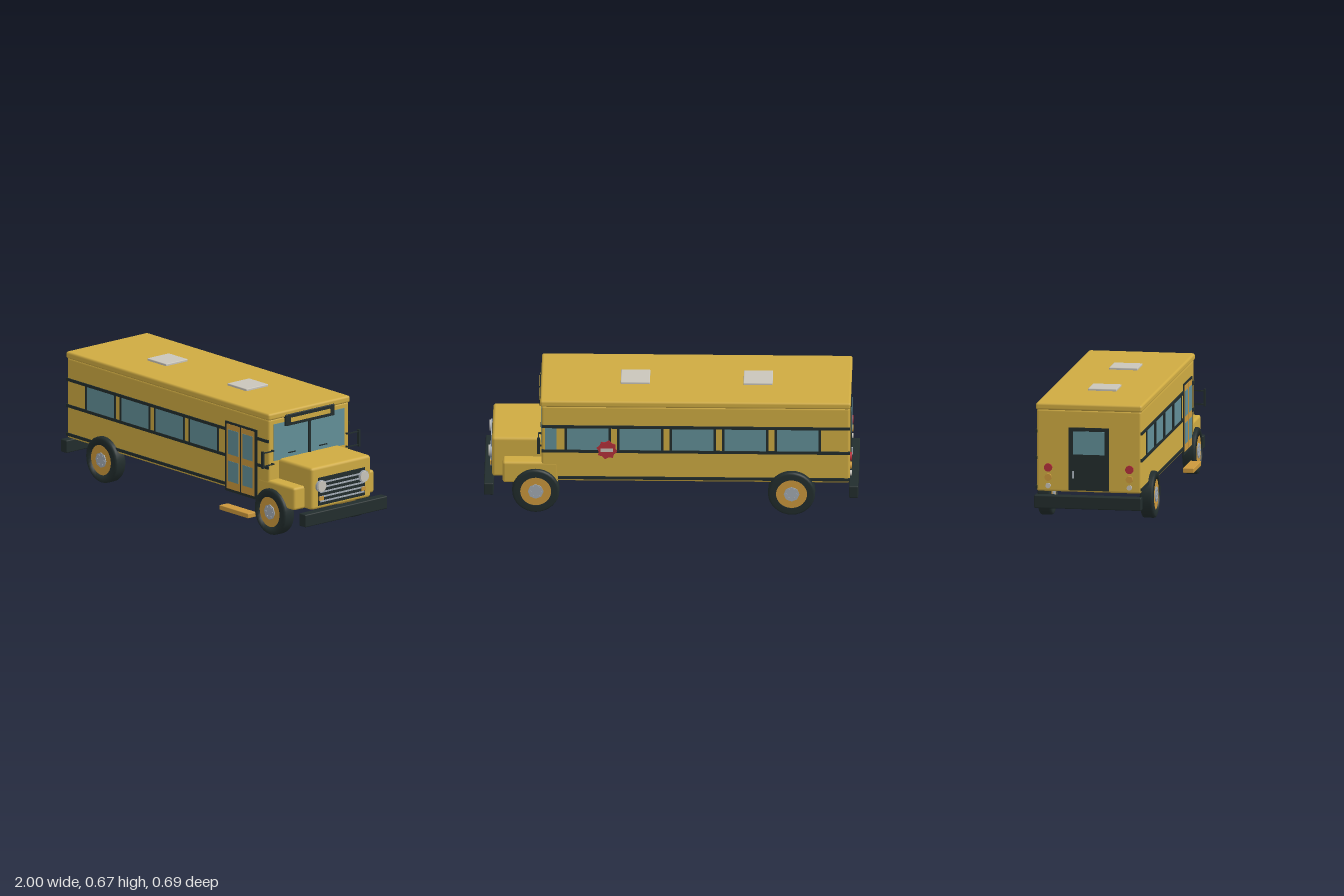
import * as THREE from 'three';
import { RoundedBoxGeometry } from 'three/addons/geometries/RoundedBoxGeometry.js';

const mat = (name, color) => {
  const m = new THREE.MeshStandardMaterial({ color });
  m.name = name;
  return m;
};

export function createModel() {
  const bus = new THREE.Group();
  bus.name = 'bus';
  const yellow = mat('yellow paint', 0xcfab42);
  const amber = mat('amber', 0xcb983c);
  const dark = mat('dark trim', 0x222d2d);
  const glass = mat('glass', 0x628f98);
  const silver = mat('silver', 0xa3abb4);
  const pale = mat('pale grey', 0xc9c5bb);
  const red = mat('red', 0xb5303a);

  const add = (name, geo, m, parent = bus) => {
    const mesh = new THREE.Mesh(geo, m);
    mesh.name = name;
    parent.add(mesh);
    return mesh;
  };
  // Box given by its limits on each axis, optionally with rounded edges
  const box = (name, m, x0, x1, y0, y1, z0, z1, r = 0) => {
    const s = [x1 - x0, y1 - y0, z1 - z0];
    const geo = r ? new RoundedBoxGeometry(...s, 2, r) : new THREE.BoxGeometry(...s);
    geo.translate((x0 + x1) / 2, (y0 + y1) / 2, (z0 + z1) / 2);
    return add(name, geo, m);
  };
  // Disc whose axis runs along x
  const discX = (name, m, x, y, z, r, depth) => {
    const geo = new THREE.CylinderGeometry(r, r, depth, 24).rotateZ(Math.PI / 2);
    return add(name, geo.translate(x, y, z), m);
  };
  // Plate on a side wall; side is +1 or -1, out is the distance beyond the wall
  const WALL = 0.283;
  const sidePlate = (name, m, side, x0, x1, y0, y1, out) =>
    box(name, m, x0, x1, y0, y1, side > 0 ? WALL - 0.003 : -WALL - out, side > 0 ? WALL + out : -WALL + 0.003);

  // Shell
  box('body', yellow, -0.955, 0.69, 0.18, 0.625, -WALL, WALL, 0.012);
  box('roof', yellow, -0.96, 0.697, 0.62, 0.658, -0.288, 0.288, 0.012);
  box('hood', yellow, 0.67, 0.955, 0.165, 0.398, -0.21, 0.21, 0.016);
  for (const x of [-0.462, 0.193]) box('roofHatch', pale, x - 0.078, x + 0.078, 0.655, 0.67, -0.077, 0.077, 0.004);
  box('frontBumper', dark, 0.945, 0.997, 0.095, 0.165, -0.29, 0.29, 0.006);
  box('rearBumper', dark, -1, -0.95, 0.095, 0.165, -0.29, 0.29, 0.006);

  // Side walls: rails, windows and fenders
  for (const side of [1, -1]) {
    for (const y of [0.505, 0.36, 0.202]) sidePlate('sideRail', dark, side, -0.957, y < 0.3 ? 0.6 : 0.69, y - 0.008, y + 0.008, 0.006);
    const count = side > 0 ? 4 : 5;
    for (let i = 0; i < count; i++) {
      const x = -0.79 + i * 0.28;
      sidePlate('sideWindow', glass, side, x, x + 0.225, 0.368, 0.497, 0.002);
      for (const px of [x - 0.005, x + 0.23]) sidePlate('windowPost', dark, side, px - 0.006, px + 0.006, 0.365, 0.5, 0.004);
    }
    const z = side * 0.242;
    box('fender', yellow, 0.6, 0.897, 0.165, 0.29, z - 0.042, z + 0.042, 0.014);
  }
  sidePlate('driverWindow', glass, -1, 0.61, 0.67, 0.368, 0.497, 0.002);

  // Entrance door and step
  sidePlate('doorFrame', dark, 1, 0.34, 0.6, 0.165, 0.55, 0.006);
  for (const x of [0.41, 0.527]) {
    sidePlate('doorLeaf', amber, 1, x - 0.054, x + 0.054, 0.18, 0.538, 0.0075);
    sidePlate('doorUpperGlass', glass, 1, x - 0.041, x + 0.041, 0.372, 0.508, 0.009);
    sidePlate('doorLowerGlass', glass, 1, x - 0.041, x + 0.041, 0.222, 0.335, 0.009);
  }
  box('entranceStep', amber, 0.352, 0.587, 0.068, 0.094, 0.28, 0.34, 0.004);

  // Windshield, wipers and destination box
  for (const s of [-1, 1]) {
    const z = s * 0.128;
    box('windshield', glass, 0.688, 0.693, 0.392, 0.595, z - 0.122, z + 0.122);
  }
  box('windshieldPost', dark, 0.688, 0.698, 0.39, 0.58, -0.007, 0.007);
  for (const z of [0.124, -0.096]) box('wiper', dark, 0.69, 0.699, 0.419, 0.424, z - 0.027, z + 0.027);
  box('destinationBox', dark, 0.68, 0.703, 0.572, 0.635, -0.173, 0.173, 0.004);
  box('destinationPanel', yellow, 0.698, 0.706, 0.59, 0.614, -0.138, 0.138);

  // Mirrors on two arms
  for (const s of [-1, 1]) {
    for (const y of [0.38, 0.453]) {
      const z = s * 0.298;
      box('mirrorArm', dark, 0.702, 0.708, y - 0.003, y + 0.003, z - 0.04, z + 0.04);
    }
    const zm = s * 0.338;
    box('mirror', dark, 0.697, 0.713, 0.37, 0.463, zm - 0.005, zm + 0.005);
    const zb = s * 0.262;
    for (const y of [0.38, 0.453]) box('mirrorMount', dark, 0.685, 0.706, y - 0.004, y + 0.004, zb - 0.004, zb + 0.004);
  }

  // Grille, headlights and indicators
  box('grille', dark, 0.95, 0.959, 0.185, 0.339, -0.165, 0.165);
  for (let i = 0; i < 5; i++) {
    const y = 0.207 + i * 0.0258;
    box('grilleSlat', silver, 0.955, 0.964, y - 0.004, y + 0.004, -0.155, 0.155);
  }
  for (const s of [-1, 1]) {
    discX('headlightRim', silver, 0.96, 0.293, s * 0.15, 0.033, 0.016);
    discX('headlight', pale, 0.964, 0.293, s * 0.15, 0.029, 0.02);
    const z = s * 0.149;
    box('indicator', amber, 0.955, 0.967, 0.214, 0.236, z - 0.015, z + 0.015);
  }

  // Rear door and lamps
  box('rearDoor', dark, -0.961, -0.95, 0.19, 0.53, -0.11, 0.11);
  box('rearDoorGlass', glass, -0.964, -0.955, 0.385, 0.51, -0.085, 0.085);
  box('rearDoorHandle', silver, -0.969, -0.955, 0.255, 0.295, -0.09, -0.08);
  for (const s of [-1, 1]) {
    discX('tailLight', red, -0.958, 0.31, s * 0.22, 0.022, 0.016);
    discX('rearIndicator', amber, -0.958, 0.257, s * 0.22, 0.019, 0.016);
    discX('reverseLight', pale, -0.958, 0.212, s * 0.22, 0.014, 0.016);
  }

  // Folding sign on the driver's side
  const star = new THREE.Shape();
  for (let i = 0; i < 16; i++) {
    const a = (i + 0.5) * Math.PI / 8, r = i % 2 ? 0.046 : 0.056;
    star[i ? 'lineTo' : 'moveTo'](r * Math.cos(a), r * Math.sin(a));
  }
  add('sideSign', new THREE.ExtrudeGeometry(star, { depth: 0.005, bevelEnabled: false }).translate(0.34, 0.38, -0.309), red);
  box('sideSignBar', pale, 0.307, 0.373, 0.37, 0.39, -0.311, -0.305);
  box('sideSignMount', dark, 0.325, 0.355, 0.358, 0.402, -0.295, -0.28);

  // Wheels, built around the z axis
  const R = 0.126, H = 0.036;
  const tyreProfile = [[0.083, -H], [0.114, -H], [0.123, -H + 0.004], [R, -H + 0.012],
    [R, H - 0.012], [0.123, H - 0.004], [0.114, H], [0.083, H], [0.083, -H]].map(p => new THREE.Vector2(...p));
  const tyreGeo = new THREE.LatheGeometry(tyreProfile, 32).rotateX(Math.PI / 2);
  const cyl = (r, h, n = 32) => new THREE.CylinderGeometry(r, r, h, n).rotateX(Math.PI / 2);
  for (const [x, zc] of [[0.72, 0.269], [-0.645, 0.277]]) {
    for (const s of [-1, 1]) {
      const wheel = new THREE.Group();
      wheel.name = 'wheel';
      wheel.position.set(x, R, s * zc);
      add('tyre', tyreGeo, dark, wheel);
      add('rim', cyl(0.084, 2 * H - 0.008), amber, wheel);
      add('hub', cyl(0.042, 2 * H + 0.002, 8), silver, wheel);
      for (let i = 0; i < 6; i++) {
        const a = i * Math.PI / 3;
        add('wheelNut', cyl(0.006, 2 * H + 0.008, 6), silver, wheel).position.set(0.028 * Math.cos(a), 0.028 * Math.sin(a), 0);
      }
      bus.add(wheel);
    }
  }
  return bus;
}
